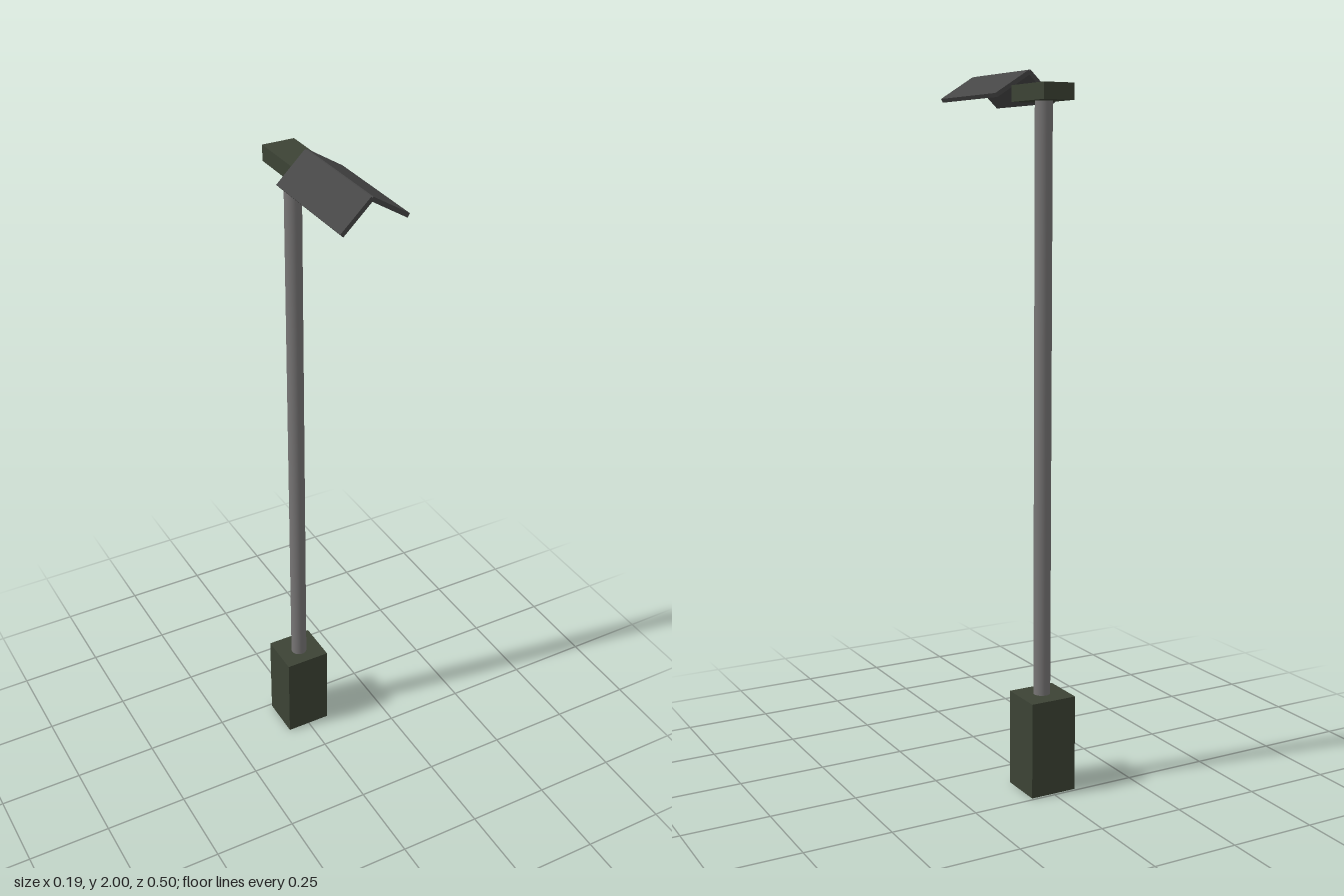
import * as THREE from 'three';

const material = (color) => new THREE.MeshStandardMaterial({ color });

export function createModel() {
  const group = new THREE.Group();
  const green = material(0x3c4335);
  const steel = material(0x777575);
  const dark = material(0x464646);

  const add = (name, geometry, mat, x, y, z, tilt = 0) => {
    const mesh = new THREE.Mesh(geometry, mat);
    mesh.name = name;
    mesh.position.set(x, y, z);
    mesh.rotation.z = tilt;
    group.add(mesh);
  };

  // Footing, round post and the cap block on top of it
  add('base', new THREE.BoxGeometry(0.138, 0.275, 0.13), green, -0.001, 0.1375, -0.177);
  add('pole', new THREE.CylinderGeometry(0.024, 0.024, 1.655, 32), steel, -0.002, 1.0975, -0.172);
  add('cap', new THREE.BoxGeometry(0.093, 0.044, 0.173), green, -0.0015, 1.935, -0.1665);

  // Two thin slabs meeting in a slightly uneven ridge
  const deg = Math.PI / 180;
  add('leftShadePanel', new THREE.BoxGeometry(0.12, 0.012, 0.33), dark, 0.04, 1.962, 0.085, -32 * deg);
  add('rightShadePanel', new THREE.BoxGeometry(0.114, 0.012, 0.33), dark, -0.0505, 1.9565, 0.085, 43.5 * deg);

  return group;
}
